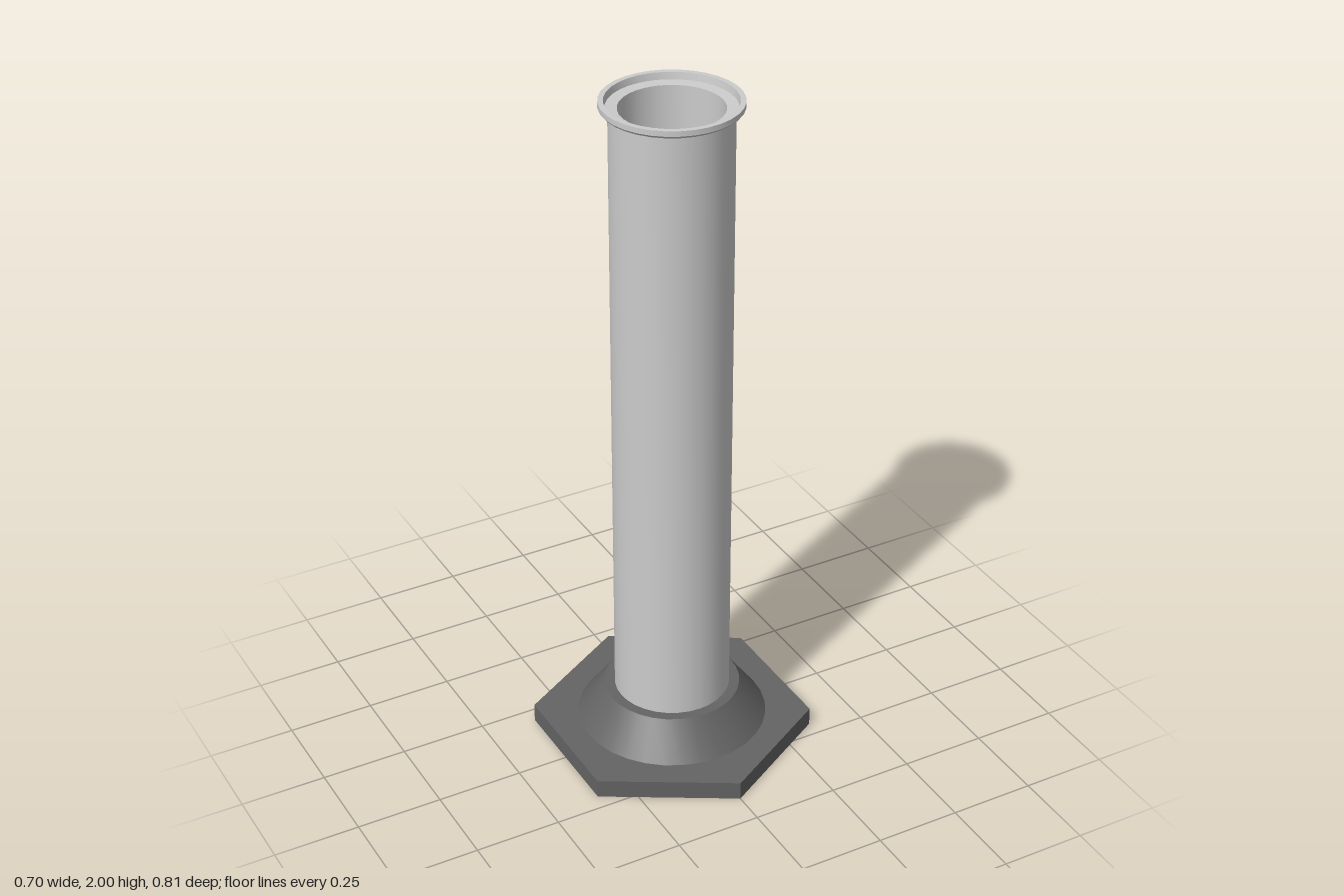
import * as THREE from 'three';
import { toCreasedNormals } from 'three/addons/utils/BufferGeometryUtils.js';

const SEGMENTS = 32;

export function createModel() {
  const model = new THREE.Group();
  model.name = 'measuringCylinder';

  const grey = new THREE.MeshStandardMaterial({ color: 0xcccccc });
  const dark = new THREE.MeshStandardMaterial({ color: 0x646464 });
  const green = new THREE.MeshStandardMaterial({ color: 0x3cec10 });

  const add = (name, geometry, material, y = 0) => {
    const mesh = new THREE.Mesh(toCreasedNormals(geometry, 0.5), material);
    mesh.name = name;
    mesh.position.y = y;
    model.add(mesh);
  };
  const lathe = (profile) =>
    new THREE.LatheGeometry(profile.map(([r, y]) => new THREE.Vector2(r, y)), SEGMENTS);

  // Hexagonal foot with corners at the front and back
  add('foot', new THREE.CylinderGeometry(0.405, 0.405, 0.055, 6), dark, 0.0275);

  // Tapered collar holding the tube
  add('collar', lathe([[0.275, 0.05], [0.275, 0.055], [0.197, 0.16], [0.165, 0.16]]), dark);

  // Hollow tube with a flared lip and an inner ledge
  add('tube', lathe([
    [0, 0.06], [0.167, 0.06], [0.167, 1.975], [0.186, 1.978], [0.192, 1.985], [0.192, 2],
    [0.177, 2], [0.174, 1.98], [0.142, 1.978], [0.142, 0.1], [0, 0.1],
  ]), grey);

  // Liquid inside the tube
  add('liquid', new THREE.CylinderGeometry(0.1415, 0.1415, 0.9, SEGMENTS), green, 0.56);

  return model;
}
